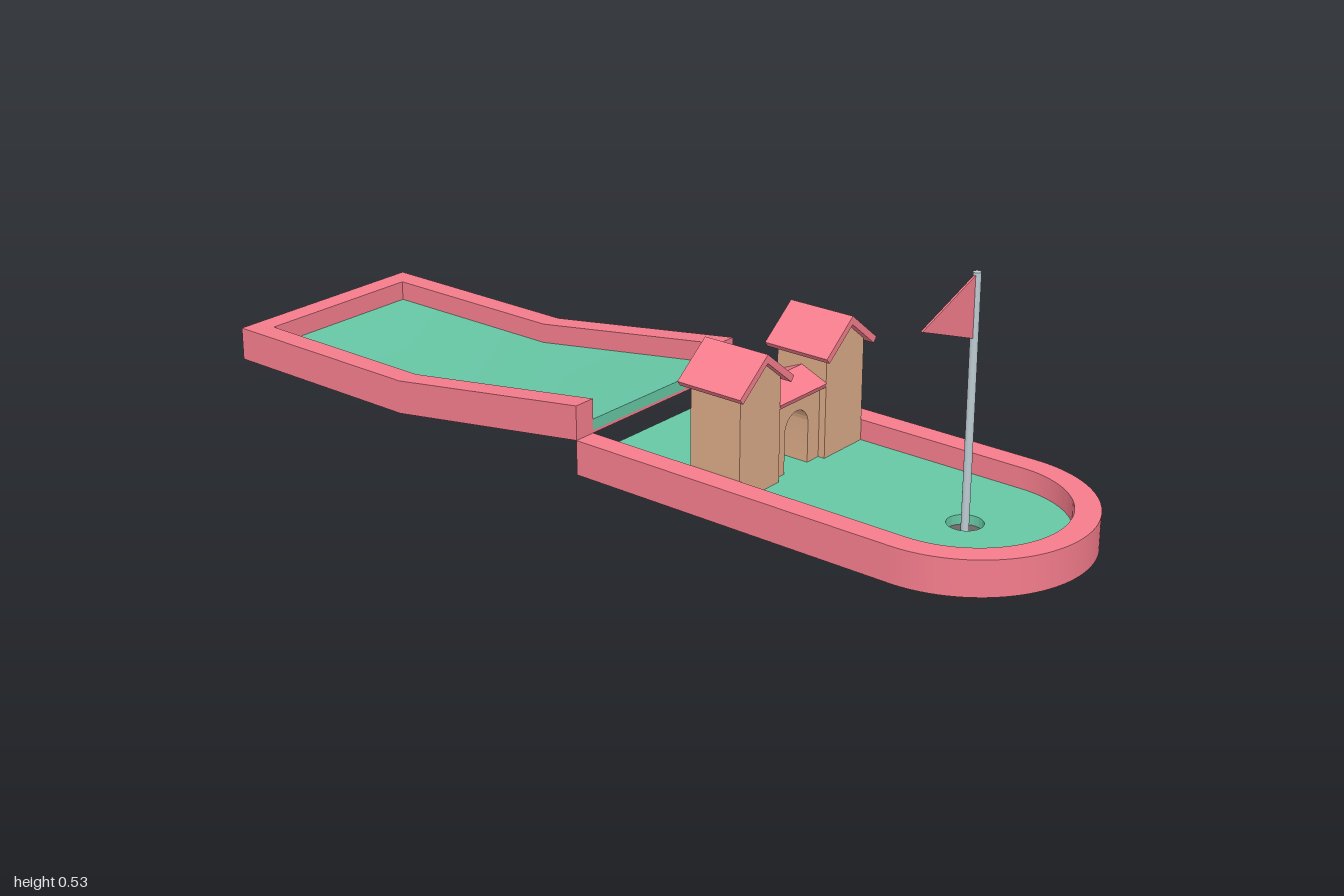
import * as THREE from 'three';
import { toCreasedNormals } from 'three/addons/utils/BufferGeometryUtils.js';

const mat = (color, extra = {}) => new THREE.MeshStandardMaterial({ color, ...extra });
const RED = mat(0xf47c8c), GREEN = mat(0x66c7a5), TAN = mat(0xd9a986);
const STEEL = mat(0xbccbd2), DARK = mat(0x6e6468);

const WALL = 0.074;   // border height
const FLOOR = 0.03;   // playing surface height
const BASE = 0.006;   // underside plate thickness
const CX = 0.31;      // castle position along the course
const CUP = 0.75;     // cup position, also centre of the rounded end

function shapeOf(points) {
  return new THREE.Shape(points.map(([x, y]) => new THREE.Vector2(x, y)));
}

function extrude(shape, depth) {
  const geo = new THREE.ExtrudeGeometry(shape, { depth, bevelEnabled: false, curveSegments: 32 });
  return toCreasedNormals(geo, 0.5);
}

function add(parent, name, geo, material) {
  const mesh = new THREE.Mesh(geo, material);
  mesh.name = name;
  parent.add(mesh);
  return mesh;
}

// Ramp strip: side profile between heights a and b, spanning z0..z1
function rampStrip(x0, a, b, z0, z1) {
  const s = shapeOf([[x0, a], [-0.5, a], [0, a + WALL], [0, b + WALL], [-0.5, b], [x0, b]]);
  return extrude(s, z1 - z0).translate(0, 0, z0);
}

// Plan outline with a rounded far end, radius r
function roundedPlan(r) {
  const s = new THREE.Shape();
  s.moveTo(0, -r);
  s.lineTo(CUP, -r);
  s.absarc(CUP, 0, r, -Math.PI / 2, Math.PI / 2, false);
  s.lineTo(0, r);
  s.closePath();
  return s;
}

function slab(shape, y0, y1) {
  return extrude(shape, y1 - y0).rotateX(-Math.PI / 2).translate(0, y0, 0);
}

// Profile drawn in (z, y), extruded along x and centred on the origin
function acrossX(shape, depth) {
  return extrude(shape, depth).rotateY(-Math.PI / 2).translate(depth / 2, 0, 0);
}

// Gable roof profile: outer ridge height, half width, slope, vertical thickness
function roofShape(ridge, half, slope, t) {
  const eave = ridge - half * slope;
  const dx = t * slope / (1 + slope * slope), dy = t / (1 + slope * slope);
  return shapeOf([[0, ridge], [-half, eave], [-half + dx, eave - dy], [0, ridge - t],
    [half - dx, eave - dy], [half, eave]]);
}

function createRampHalf() {
  const g = new THREE.Group();
  g.name = 'rampHalf';
  add(g, 'sideWallLeft', rampStrip(-1, 0, WALL, 0.2, 0.25), RED);
  add(g, 'sideWallRight', rampStrip(-1, 0, WALL, -0.25, -0.2), RED);
  add(g, 'endWall', new THREE.BoxGeometry(0.05, WALL, 0.4).translate(-0.975, WALL / 2, 0), RED);
  add(g, 'rampBase', rampStrip(-0.95, 0, BASE, -0.2, 0.2), RED);
  add(g, 'rampTurf', rampStrip(-0.95, BASE, FLOOR, -0.2, 0.2), GREEN);
  return g;
}

function createGreenHalf() {
  const g = new THREE.Group();
  g.name = 'greenHalf';
  // U-shaped border, open towards the ramp
  const border = new THREE.Shape();
  border.moveTo(0, -0.25);
  border.lineTo(CUP, -0.25);
  border.absarc(CUP, 0, 0.25, -Math.PI / 2, Math.PI / 2, false);
  border.lineTo(0, 0.25);
  border.lineTo(0, 0.2);
  border.lineTo(CUP, 0.2);
  border.absarc(CUP, 0, 0.2, Math.PI / 2, -Math.PI / 2, true);
  border.lineTo(0, -0.2);
  border.closePath();
  add(g, 'border', slab(border, 0, WALL), RED);
  add(g, 'greenBase', slab(roundedPlan(0.2), 0, BASE), RED);
  // Turf with the cup cut out
  const turf = roundedPlan(0.2);
  turf.holes.push(new THREE.Path().absarc(CUP, 0, 0.036, 0, Math.PI * 2, true));
  add(g, 'greenTurf', slab(turf, BASE, FLOOR), GREEN);
  add(g, 'cupBottom', new THREE.CylinderGeometry(0.036, 0.036, 0.004, 32)
    .translate(CUP, BASE + 0.002, 0), DARK);
  return g;
}

function createCastle() {
  const g = new THREE.Group();
  g.name = 'castle';
  g.position.x = CX;
  // Two gabled towers
  for (const side of [1, -1]) {
    const tower = new THREE.Group();
    tower.name = side > 0 ? 'towerLeft' : 'towerRight';
    tower.position.z = side * 0.1375;
    const h = 0.0625;
    add(tower, 'towerBody', acrossX(shapeOf([[-h, FLOOR], [h, FLOOR], [h, 0.25], [0, 0.3], [-h, 0.25]]), 0.12), TAN);
    add(tower, 'towerRoof', acrossX(roofShape(0.318, 0.084, 0.8, 0.018), 0.152), RED);
    g.add(tower);
  }
  // Gatehouse wall with arched tunnel
  const wall = new THREE.Shape();
  wall.moveTo(-0.075, FLOOR);
  wall.lineTo(-0.038, FLOOR);
  wall.lineTo(-0.038, 0.114);
  wall.absarc(0, 0.114, 0.038, Math.PI, 0, true);
  wall.lineTo(0.038, FLOOR);
  wall.lineTo(0.075, FLOOR);
  wall.lineTo(0.075, 0.185);
  wall.lineTo(-0.075, 0.185);
  wall.closePath();
  add(g, 'gateWall', acrossX(wall, 0.09), TAN);
  // Low roof with its ridge running between the towers
  const roof = extrude(roofShape(0.217, 0.062, 0.42, 0.012), 0.15).translate(0, 0, -0.075);
  add(g, 'gateRoof', roof, RED);
  return g;
}

function createFlag() {
  const g = new THREE.Group();
  g.name = 'flag';
  g.position.x = CUP;
  add(g, 'pole', new THREE.CylinderGeometry(0.008, 0.008, 0.521, 16).translate(0, 0.2665, 0), STEEL);
  add(g, 'pennant', acrossX(shapeOf([[0.005, 0.4], [0.175, 0.461], [0.005, 0.523]]), 0.004), RED);
  return g;
}

export function createModel() {
  const model = new THREE.Group();
  model.name = 'miniGolfHole';
  model.add(createRampHalf(), createGreenHalf(), createCastle(), createFlag());
  return model;
}
